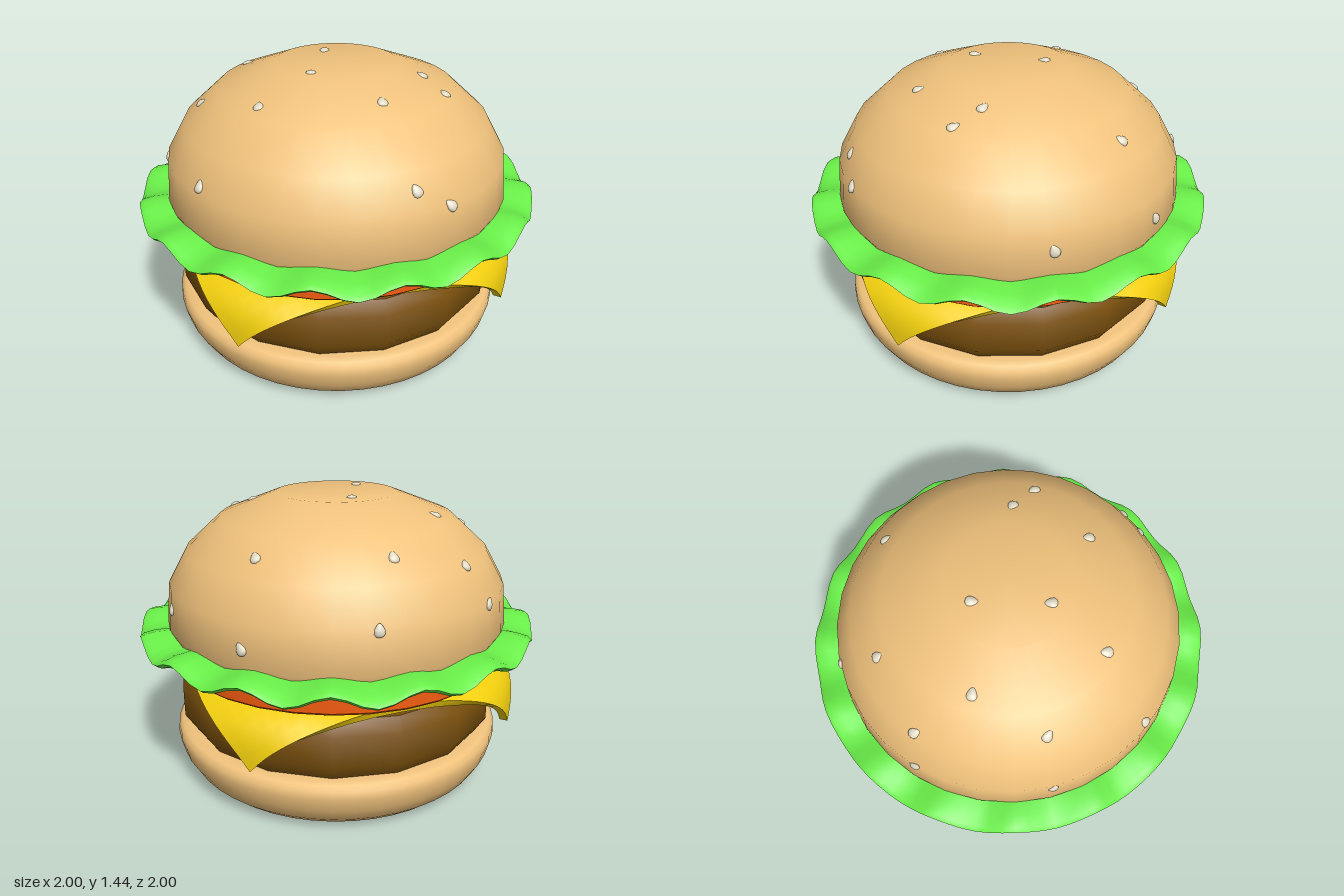
import * as THREE from 'three';
import { toCreasedNormals } from 'three/addons/utils/BufferGeometryUtils.js';

const material = (color) => new THREE.MeshStandardMaterial({ color });
const BUN = material(0xf0c27c);

// Solid of revolution from [radius, height] pairs, bottom to top
function turned(name, profile, mat, sides, crease = 0.75) {
  const points = profile.map(([r, y]) => new THREE.Vector2(r, y));
  const mesh = new THREE.Mesh(toCreasedNormals(new THREE.LatheGeometry(points, sides), crease), mat);
  mesh.name = name;
  return mesh;
}

const DOME = [[0.86, 0.8], [0.84, 1.0], [0.75, 1.16], [0.58, 1.315], [0.3, 1.425], [0, 1.425]];

// Square slice whose corners bend down over the patty
function cheeseSlice() {
  const half = 0.79, thickness = 0.04, bendStart = 0.78;
  const bendLength = half * Math.SQRT2 - bendStart;
  const geo = new THREE.BoxGeometry(half * 2, 1, half * 2, 28, 1, 28);
  const pos = geo.attributes.position;
  for (let i = 0; i < pos.count; i++) {
    const x = pos.getX(i), z = pos.getZ(i);
    const r = Math.hypot(x, z);
    const t = Math.max(0, (r - bendStart) / bendLength);
    let radius = t > 0 ? bendStart + 0.15 * (1 - (1 - t) ** 3) : r;
    let y = 0.62 - 0.27 * t ** 1.3;
    if (pos.getY(i) < 0) {
      // underside is offset along the bent surface's normal
      const out = t > 0 ? 0.45 * (1 - t) ** 2 : 1;
      const down = t > 0 ? 0.351 * t ** 0.3 : 0;
      const len = Math.hypot(out, down);
      radius -= thickness * down / len;
      y -= thickness * out / len;
    }
    const k = r > 1e-6 ? radius / r : 1;
    pos.setXYZ(i, x * k, y, z * k);
  }
  geo.computeVertexNormals();
  const mesh = new THREE.Mesh(geo, material(0xf2cf0e));
  mesh.name = 'cheese';
  return mesh;
}

// Flattened ring with a ripple that grows toward its rim
function lettuceRing() {
  const geo = new THREE.TorusGeometry(0.85, 0.15, 12, 96);
  geo.rotateX(-Math.PI / 2);
  const pos = geo.attributes.position;
  for (let i = 0; i < pos.count; i++) {
    const x = pos.getX(i), z = pos.getZ(i);
    const reach = (Math.hypot(x, z) - 0.7) / 0.3;
    const ripple = 0.03 * reach * Math.cos(16 * Math.atan2(x, z));
    pos.setY(i, 0.755 + pos.getY(i) * 0.24 + ripple);
  }
  geo.computeVertexNormals();
  const mesh = new THREE.Mesh(geo, material(0x69ee48));
  mesh.name = 'lettuce';
  return mesh;
}

// Teardrop seeds laid on the dome, given by their x and z
function sesameSeeds() {
  const spots = [
    [0.13, -0.83], [-0.48, -0.69], [-0.38, -0.63], [-0.01, -0.65], [0.65, -0.55],
    [0.53, -0.4], [-0.37, -0.34], [-0.01, -0.18], [-0.65, -0.11], [-0.83, -0.15],
    [-0.16, 0.13], [-0.44, 0.27], [-0.74, 0.36], [0.37, 0.19], [0.43, 0.33],
    [0.08, 0.44], [0.12, 0.78], [0.28, 0.79], [0.848, -0.02],
  ];
  const geo = new THREE.SphereGeometry(1, 12, 8);
  const pos = geo.attributes.position;
  for (let i = 0; i < pos.count; i++) {
    const z = pos.getZ(i);
    const taper = 1 - 0.4 * z;
    pos.setXYZ(i, pos.getX(i) * 0.024 * taper, pos.getY(i) * 0.014 * taper, z * 0.032);
  }
  geo.computeVertexNormals();

  const seeds = new THREE.Group();
  seeds.name = 'sesameSeeds';
  const mat = material(0xe2dbc6);
  spots.forEach(([x, z], i) => {
    const r = Math.hypot(x, z);
    let s = DOME.findIndex(([radius], k) => k > 0 && radius <= r);
    if (s < 1) s = DOME.length - 1;
    const [r0, y0] = DOME[s - 1], [r1, y1] = DOME[s];
    const y = y0 + (y1 - y0) * (r0 - r) / (r0 - r1);
    // uphill direction and surface normal
    const up = new THREE.Vector3(x / r * (r1 - r0), y1 - y0, z / r * (r1 - r0)).normalize();
    const side = new THREE.Vector3(z / r, 0, -x / r);
    const normal = new THREE.Vector3().crossVectors(up, side);
    const seed = new THREE.Mesh(geo, mat);
    seed.name = 'seed';
    seed.quaternion.setFromRotationMatrix(new THREE.Matrix4().makeBasis(side, normal, up));
    seed.rotateY(Math.sin(i * 7.3) * 0.7);
    seed.position.set(x, y, z).addScaledVector(normal, 0.004);
    seeds.add(seed);
  });
  return seeds;
}

export function createModel() {
  const burger = new THREE.Group();
  burger.name = 'burger';
  burger.add(
    turned('bottomBun', [[0, 0], [0.69, 0], [0.74, 0.015], [0.79, 0.06], [0.83, 0.13], [0.848, 0.2],
      [0.845, 0.24], [0.825, 0.262], [0.79, 0.268], [0, 0.268]], BUN, 48),
    turned('patty', [[0, 0.262], [0.77, 0.262], [0.82, 0.34], [0.82, 0.5], [0.775, 0.56], [0, 0.56]],
      material(0x7a500c), 16),
    cheeseSlice(),
    turned('tomato', [[0, 0.618], [0.835, 0.618], [0.85, 0.632], [0.85, 0.705], [0.835, 0.72], [0, 0.72]],
      material(0xf25c10), 32),
    lettuceRing(),
    turned('topBun', [[0, 0.74], [0.83, 0.74], ...DOME], BUN, 32),
    sesameSeeds(),
  );
  return burger;
}
